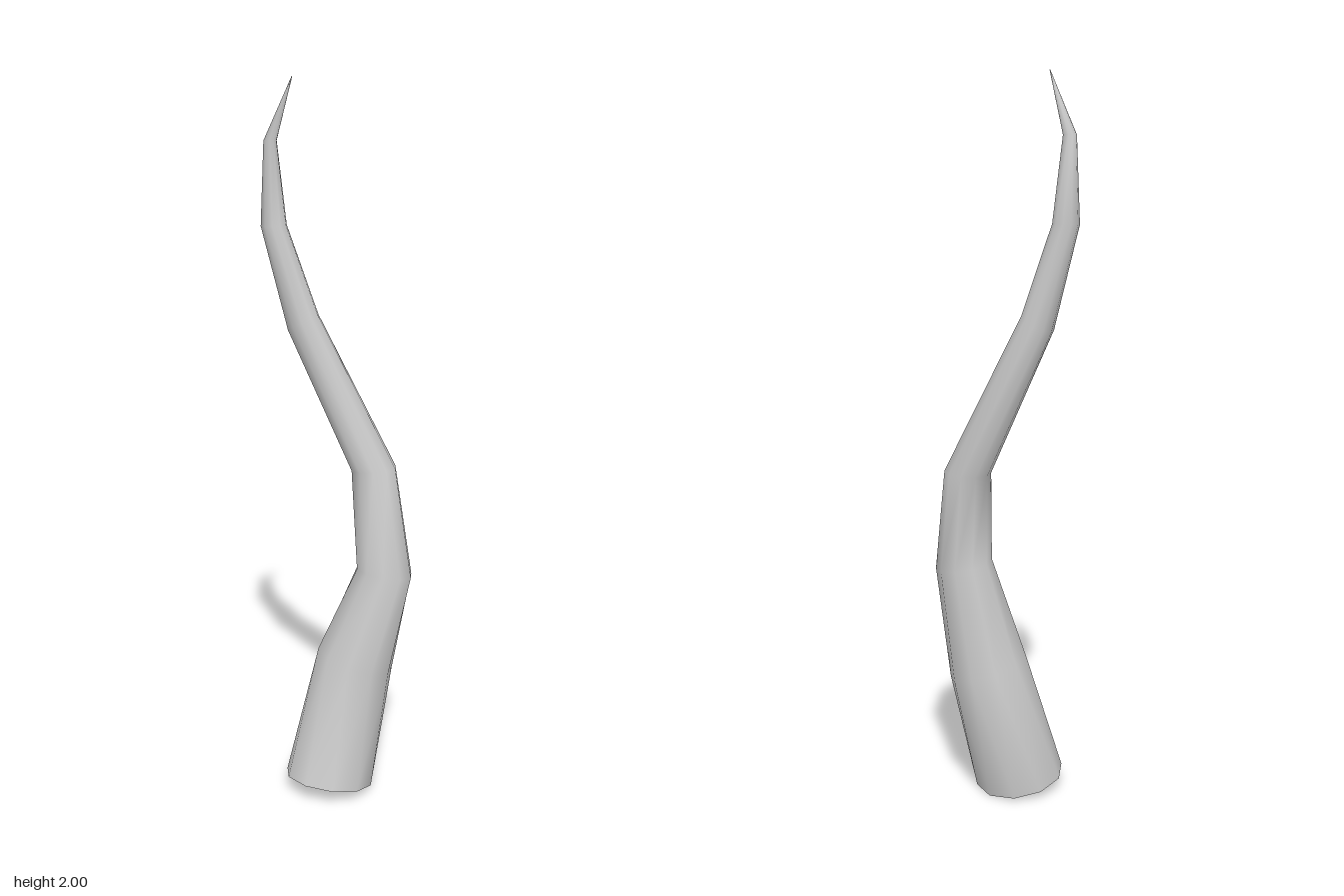
import * as THREE from 'three';

const SIDES = 10;

// Cross-sections: centre x, y, z, radius, slope along x, slope along z, twist in degrees
const RINGS = [
  [-0.012, 0.027, 0.038, 0.126, -0.1, 0.19, 2],
  [0.05, 0.375, -0.043, 0.112, -0.3, 0.09, 18],
  [0.137, 0.657, -0.015, 0.08, -0.13, 0.1, 11],
  [0.093, 0.938, -0.079, 0.064, 0.08, 0.04, 10],
  [-0.1, 1.35, -0.05, 0.048, 0.55, 0.08, 10],
  [-0.183, 1.61, -0.062, 0.036, 0.03, 0, 10],
  [-0.188, 1.835, -0.052, 0.018, 0, 0, 10],
  [-0.12, 2.0, -0.022, 0.001, -0.3, -0.1, 10],
];

// Points of one tilted circular cross-section
function ringPoints([x, y, z, r, slopeX, slopeZ, twist]) {
  const normal = new THREE.Vector3(-slopeX, 1, -slopeZ).normalize();
  const u = new THREE.Vector3(1, 0, 0).projectOnPlane(normal).normalize();
  const v = new THREE.Vector3().crossVectors(u, normal);
  return Array.from({ length: SIDES }, (_, j) => {
    const a = THREE.MathUtils.degToRad(twist) + (j / SIDES) * Math.PI * 2;
    return new THREE.Vector3(x, y, z)
      .addScaledVector(u, r * Math.cos(a))
      .addScaledVector(v, r * Math.sin(a));
  });
}

function makeMesh(name, points, index, material) {
  const geometry = new THREE.BufferGeometry().setFromPoints(points);
  geometry.setIndex(index);
  geometry.computeVertexNormals();
  const mesh = new THREE.Mesh(geometry, material);
  mesh.name = name;
  return mesh;
}

export function createModel() {
  const group = new THREE.Group();
  group.name = 'tentacle';
  const material = new THREE.MeshStandardMaterial({ color: 0xcccccc });
  const rings = RINGS.map(ringPoints);

  // Curving, tapering body, smooth around its sides
  const index = [];
  for (let i = 0; i < rings.length - 1; i++) {
    for (let j = 0; j < SIDES; j++) {
      const a = i * SIDES + j;
      const b = i * SIDES + ((j + 1) % SIDES);
      index.push(a, a + SIDES, b, b, a + SIDES, b + SIDES);
    }
  }
  group.add(makeMesh('taperedBody', rings.flat(), index, material));

  // Flat cap closing the base
  const cap = [];
  for (let j = 1; j < SIDES - 1; j++) cap.push(0, j, j + 1);
  group.add(makeMesh('baseCap', rings[0], cap, material));

  return group;
}
